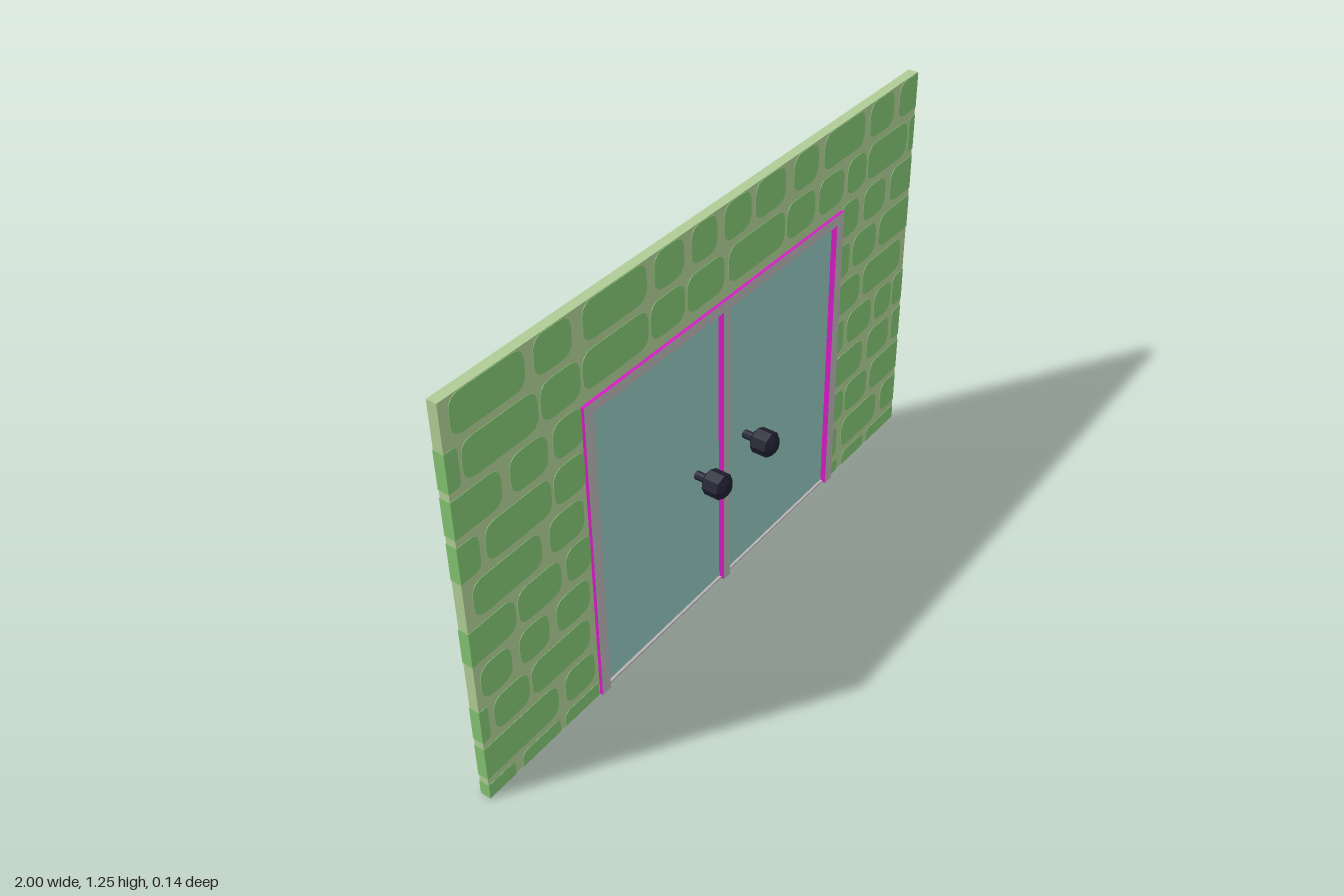
import * as THREE from 'three';

const mat = (name, color) => {
  const m = new THREE.MeshStandardMaterial({ color });
  m.name = name;
  return m;
};

// Brick spans per course from the top, in hundredths of a unit along x
const COURSES = [
  [[-97, -73], [-70, -57], [-53, -29], [-26, -14], [-11, 0], [3, 15], [17, 31], [35, 47], [50, 71], [74, 87], [90, 100]],
  [[-100, -96], [-95, -70], [-69, -55], [-54, -29], [-28, -14], [-13, 3], [5, 31], [32, 46], [48, 61], [63, 73], [74, 96], [97, 100]],
  [[-100, -84], [-81, -68], [-66, -55], [60, 70], [73, 85], [88, 100]],
  [[-100, -93], [-91, -68], [-67, -55], [59, 66], [68, 81], [83, 100]],
  [[-97, -73], [-70, -57], [60, 73], [75, 97]],
  [[-100, -84], [-83, -67], [-65, -55], [59, 65], [67, 81], [83, 93], [94, 100]],
  [[-98, -87], [-84, -73], [-70, -57], [60, 77], [80, 93], [95, 100]],
  [[-100, -97], [-95, -82], [-81, -58], [59, 67], [68, 81], [83, 100]],
  [[-100, -72], [-69, -57], [59, 64], [67, 88], [91, 100]],
  [[-100, -90], [-87, -72], [-70, -56], [59, 65], [68, 81], [83, 100]],
];

// Pillow-cornered brick outline; ends on the wall edge stay square
function brickShape(x0, x1, y0, y1) {
  const left = x0 <= -1, right = x1 >= 1;
  const r = Math.min(0.04, (x1 - x0) * 0.4, (y1 - y0) * 0.45);
  const l = left ? 0 : r, q = right ? 0 : r;
  const b = y0 <= 0 ? 0 : 1;
  const s = new THREE.Shape();
  s.moveTo(x0 + l * b, y0);
  s.lineTo(x1 - q * b, y0);
  if (q && b) s.quadraticCurveTo(x1, y0, x1, y0 + q);
  s.lineTo(x1, y1 - q);
  if (q) s.quadraticCurveTo(x1, y1, x1 - q, y1);
  s.lineTo(x0 + l, y1);
  if (l) s.quadraticCurveTo(x0, y1, x0, y1 - l);
  s.lineTo(x0, y0 + l * b);
  if (l && b) s.quadraticCurveTo(x0, y0, x0 + l, y0);
  return s;
}

const polygon = pts => new THREE.Shape(pts.map(p => new THREE.Vector2(...p)));

function extrude(shape, z0, z1) {
  const g = new THREE.ExtrudeGeometry(shape, { depth: z1 - z0, bevelEnabled: false, curveSegments: 5 });
  return g.translate(0, 0, z0);
}

export function createModel() {
  const model = new THREE.Group();
  const mortar = mat('mortar', 0xaecb94);
  const brick = mat('brick green', 0x80c070);
  const glass = mat('door teal', 0x8fc0b9);
  const grey = mat('frame grey', 0xb5b0b3);
  const magenta = mat('frame edge magenta', 0xd41cc2);
  const dark = mat('knob black', 0x1e1e30);

  const add = (name, geometry, material, parent = model) => {
    const m = new THREE.Mesh(geometry, material);
    m.name = name;
    parent.add(m);
    return m;
  };
  const box = (name, x0, x1, y0, y1, z0, z1, material) =>
    add(name, new THREE.BoxGeometry(x1 - x0, y1 - y0, z1 - z0)
      .translate((x0 + x1) / 2, (y0 + y1) / 2, (z0 + z1) / 2), material);

  // Wall with the doorway cut out
  add('wall', extrude(polygon([
    [-0.999, 0.001], [-0.54, 0.001], [-0.54, 0.96], [0.59, 0.96],
    [0.59, 0.001], [0.999, 0.001], [0.999, 1.252], [-0.999, 1.252],
  ]), -0.06, -0.03), mortar);

  // Bricks run through the wall and show on both faces and at the ends
  const bricks = new THREE.Group();
  bricks.name = 'bricks';
  model.add(bricks);
  COURSES.forEach((course, row) => {
    const top = 1.25 - row * 0.1335;
    const bottom = Math.max(0, top - 0.11);
    for (const [a, b] of course) {
      add('brick', extrude(brickShape(a / 100, b / 100, bottom, top), -0.0615, -0.0285), brick, bricks);
    }
  });

  // Double door frame: grey faces, magenta edges
  add('doorFrame', extrude(polygon([
    [-0.555, 0], [-0.52, 0], [-0.52, 0.943], [0.015, 0.943], [0.015, 0], [0.045, 0],
    [0.045, 0.943], [0.57, 0.943], [0.57, 0], [0.605, 0], [0.605, 0.975], [-0.555, 0.975],
  ]), -0.07, -0.02), [grey, magenta]);

  // Door leaves with a low sill
  for (const [x0, x1, side] of [[-0.52, 0.015, 'right'], [0.045, 0.57, 'left']]) {
    box(side + 'Door', x0, x1, 0.004, 0.943, -0.052, -0.038, glass);
    box(side + 'Sill', x0, x1, 0, 0.006, -0.06, -0.03, grey);
  }

  // Faceted knobs on short stems, turned about z
  const profile = [[0, -0.04], [0.013, -0.04], [0.013, -0.005], [0.02, -0.005],
    [0.039, 0.008], [0.039, 0.056], [0.02, 0.07], [0, 0.07]].map(p => new THREE.Vector2(...p));
  const knob = new THREE.LatheGeometry(profile, 8).rotateX(Math.PI / 2).toNonIndexed();
  knob.computeVertexNormals();
  for (const [x, side] of [[-0.09, 'right'], [0.14, 'left']]) {
    add(side + 'Knob', knob, dark).position.set(x, 0.46, 0);
  }
  return model;
}
